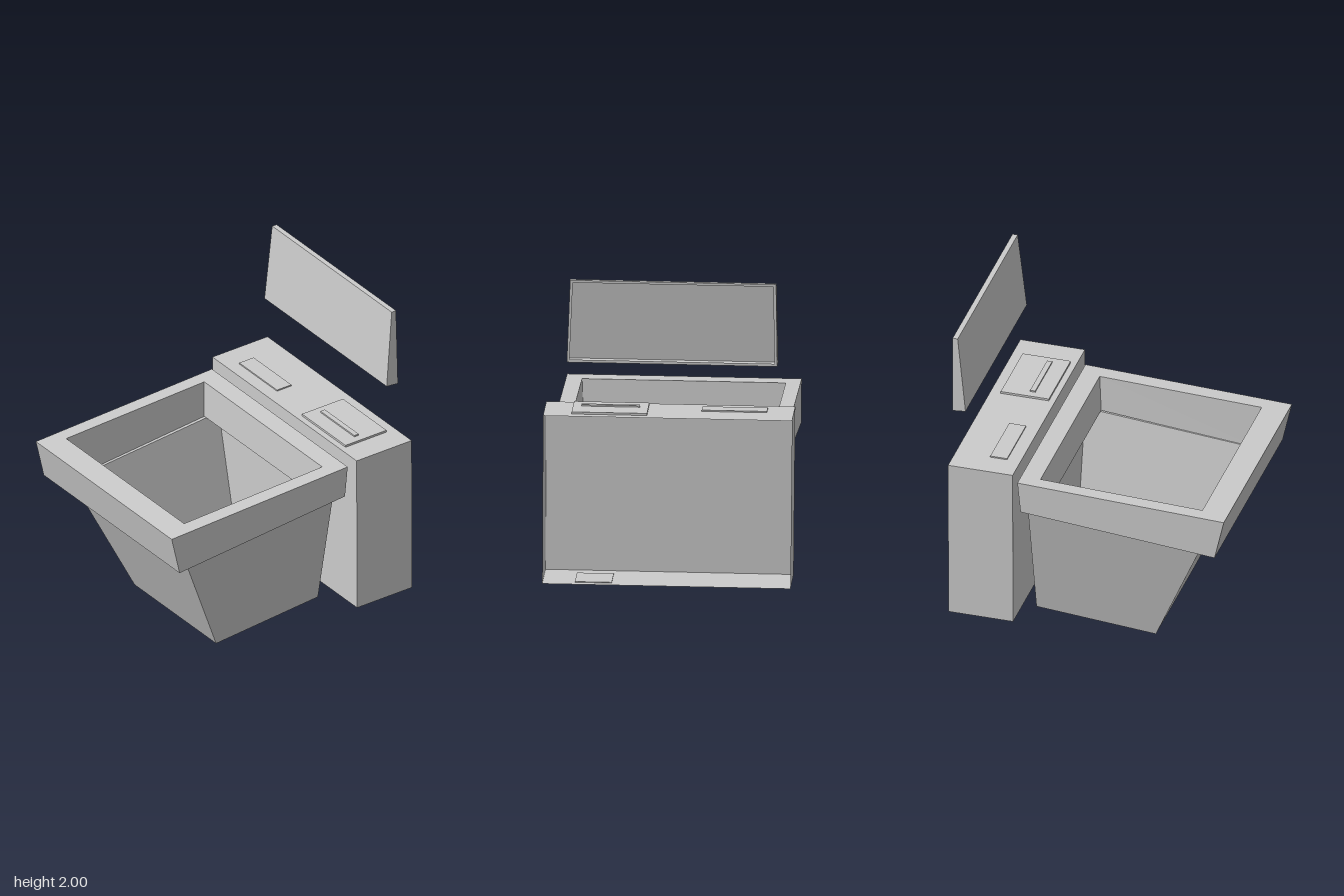
import * as THREE from 'three';

const TILT = 0.011; // everything rises slightly towards +x
const material = new THREE.MeshStandardMaterial({ color: 0xcccccc, side: THREE.DoubleSide });

// Skin between four-cornered rings, optionally closed at the last ring
function loft(name, rings, capEnd) {
  const pos = [];
  const quad = (a, b, c, d) => {
    for (const p of [a, b, c, a, c, d]) pos.push(p[0], p[1] + TILT * p[0], p[2]);
  };
  for (let r = 0; r + 1 < rings.length; r++) {
    for (let i = 0; i < 4; i++) {
      const j = (i + 1) % 4;
      quad(rings[r][i], rings[r + 1][i], rings[r + 1][j], rings[r][j]);
    }
  }
  if (capEnd) quad(...rings[rings.length - 1]);
  const geometry = new THREE.BufferGeometry();
  geometry.setAttribute('position', new THREE.Float32BufferAttribute(pos, 3));
  geometry.computeVertexNormals();
  const mesh = new THREE.Mesh(geometry, material);
  mesh.name = name;
  return mesh;
}

// Horizontal ring, its height running from yBack to yFront (downward loft faces outward)
const level = (x0, x1, zBack, zFront, yBack, yFront) => [
  [x0, yFront, zFront], [x1, yFront, zFront], [x1, yBack, zBack], [x0, yBack, zBack],
];

// Upright ring, anticlockwise seen from the front
const upright = (x0, x1, xt0, xt1, y0, y1, zBottom, zTop) => [
  [x0, y0, zBottom], [x1, y0, zBottom], [xt1, y1, zTop], [xt0, y1, zTop],
];

// Thin raised plate following the sideways tilt
function plate(name, x0, x1, z0, z1, y, height, pitch = 0) {
  const mesh = new THREE.Mesh(new THREE.BoxGeometry(x1 - x0, height, z1 - z0), material);
  const x = (x0 + x1) / 2;
  mesh.position.set(x, y + TILT * x, (z0 + z1) / 2);
  mesh.rotation.set(pitch, 0, TILT);
  mesh.name = name;
  return mesh;
}

export function createModel() {
  const model = new THREE.Group();
  model.name = 'washFixture';

  // Basin: inner lip, flat rim, flared band, underside ledge and tapering bowl
  const basin = new THREE.Group();
  basin.name = 'basin';
  const bowlTop = level(-0.61, 0.57, -0.4, 0.68, 0.865, 0.77);
  basin.add(
    loft('rim', [
      level(-0.62, 0.57, -0.3, 0.675, 0.865, 0.775),
      level(-0.637, 0.58, -0.312, 0.698, 1.094, 1.055),
      level(-0.725, 0.677, -0.43, 0.858, 1.099, 1.048),
      level(-0.725, 0.677, -0.41, 0.8, 0.9, 0.792),
      bowlTop,
    ]),
    loft('bowl', [bowlTop, level(-0.43, 0.412, -0.4, 0.345, 0.07, 0.008)], true),
    plate('drain', 0.2, 0.36, -0.33, -0.22, 0.06, 0.012, 0.083),
  );

  // Tank, open at the back
  const tank = new THREE.Group();
  tank.name = 'tank';
  tank.add(
    loft('tankShell', [
      upright(-0.74, 0.743, -0.75, 0.738, 0.137, 1.163, -0.855, -0.855),
      upright(-0.74, 0.743, -0.75, 0.738, 0.137, 1.163, -0.452, -0.452),
    ], true),
    plate('smallPlate', -0.59, -0.2, -0.64, -0.535, 1.165, 0.012),
    plate('largePlate', 0.12, 0.57, -0.79, -0.49, 1.168, 0.016),
    plate('platePressBar', 0.17, 0.52, -0.622, -0.59, 1.178, 0.014),
    plate('inletPlate', 0.33, 0.55, -0.8, -0.55, 0.137, 0.01),
  );

  // Floating backrest, a wedge-shaped tray with a thin returned edge and open back
  const backrest = loft('backrest', [
    upright(-0.645, 0.58, -0.638, 0.56, 1.51, 1.98, -0.855, -0.855),
    upright(-0.662, 0.596, -0.655, 0.576, 1.493, 1.994, -0.855, -0.855),
    upright(-0.664, 0.597, -0.657, 0.577, 1.502, 1.994, -0.772, -0.823),
  ], true);

  model.add(basin, tank, backrest);
  return model;
}
